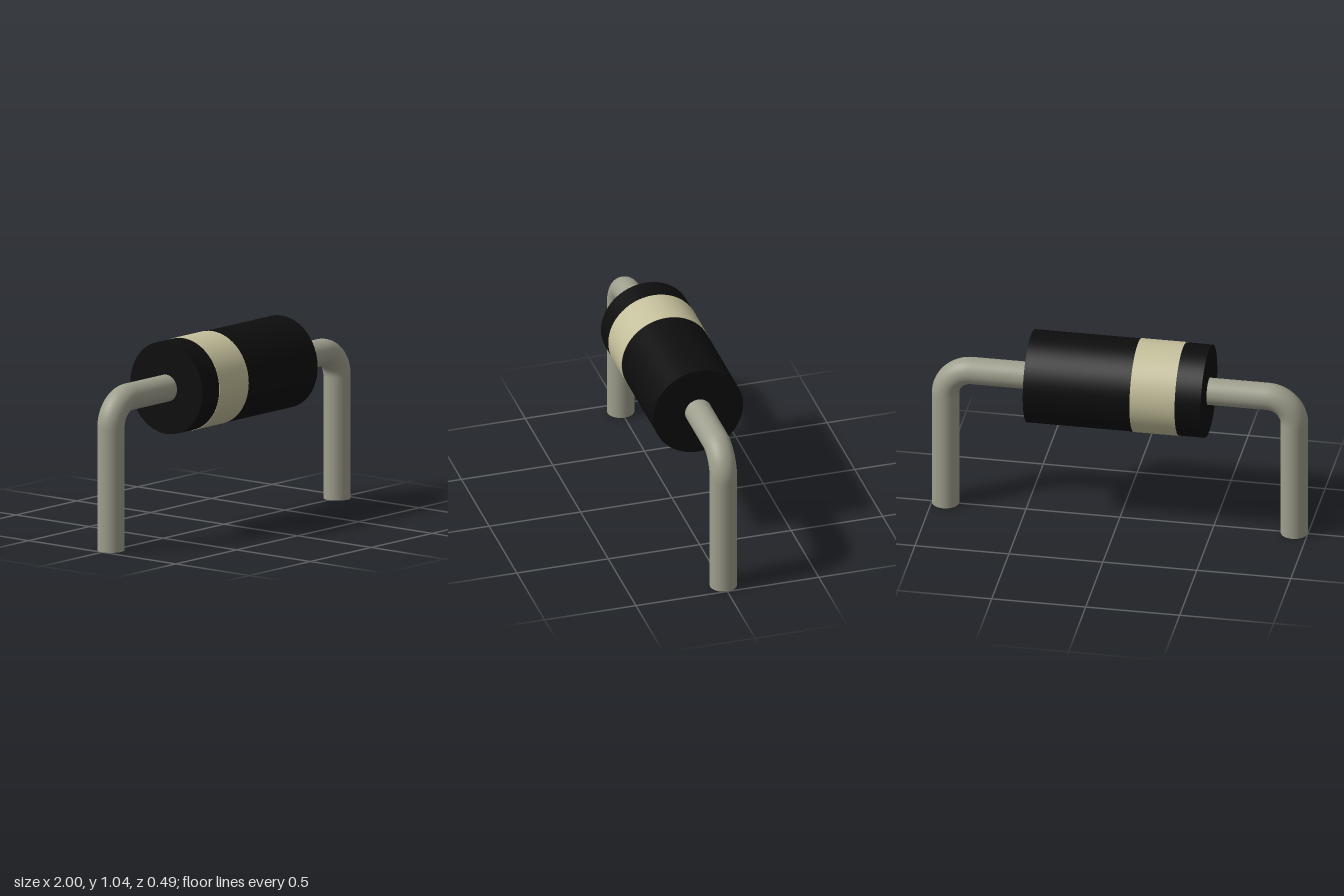
import * as THREE from 'three';

export function createModel() {
  const model = new THREE.Group();
  model.name = 'axialDiode';

  const material = (name, color) => {
    const m = new THREE.MeshStandardMaterial({ color });
    m.name = name;
    return m;
  };
  const black = material('black casing', 0x0d0d0d);
  const cream = material('cream band', 0xc4bf9b);
  const metal = material('dull metal', 0x9f9f8e);

  const axisY = 0.797;    // height of the body axis
  const wireR = 0.072;
  const bendR = 0.143;    // centreline radius of the bend
  const legX = 1 - wireR;

  const add = (parent, name, geometry, mat, x, y) => {
    const mesh = new THREE.Mesh(geometry, mat);
    mesh.name = name;
    mesh.position.set(x, y, 0);
    parent.add(mesh);
    return mesh;
  };

  // Cylinder lying along x between two ends
  const barrel = (parent, name, radius, x0, x1, mat, sides, open = false) => {
    const geometry = new THREE.CylinderGeometry(radius, radius, x1 - x0, sides, 1, open);
    geometry.rotateZ(-Math.PI / 2);
    return add(parent, name, geometry, mat, (x0 + x1) / 2, axisY);
  };

  // Casing and its polarity band
  barrel(model, 'body', 0.245, -0.473, 0.473, black, 64);
  barrel(model, 'polarityBand', 0.247, -0.335, -0.095, cream, 64);

  // Bent wire leads: straight run, quarter bend, vertical leg
  for (const side of ['left', 'right']) {
    const lead = new THREE.Group();
    lead.name = side + 'Lead';
    const bendX = legX - bendR, bendY = axisY - bendR;
    barrel(lead, 'leadRun', wireR, 0.45, bendX, metal, 32, true);
    add(lead, 'leadBend', new THREE.TorusGeometry(bendR, wireR, 32, 20, Math.PI / 2), metal, bendX, bendY);
    add(lead, 'leadLeg', new THREE.CylinderGeometry(wireR, wireR, bendY, 32), metal, legX, bendY / 2);
    if (side === 'right') lead.rotation.y = Math.PI;
    model.add(lead);
  }

  return model;
}
